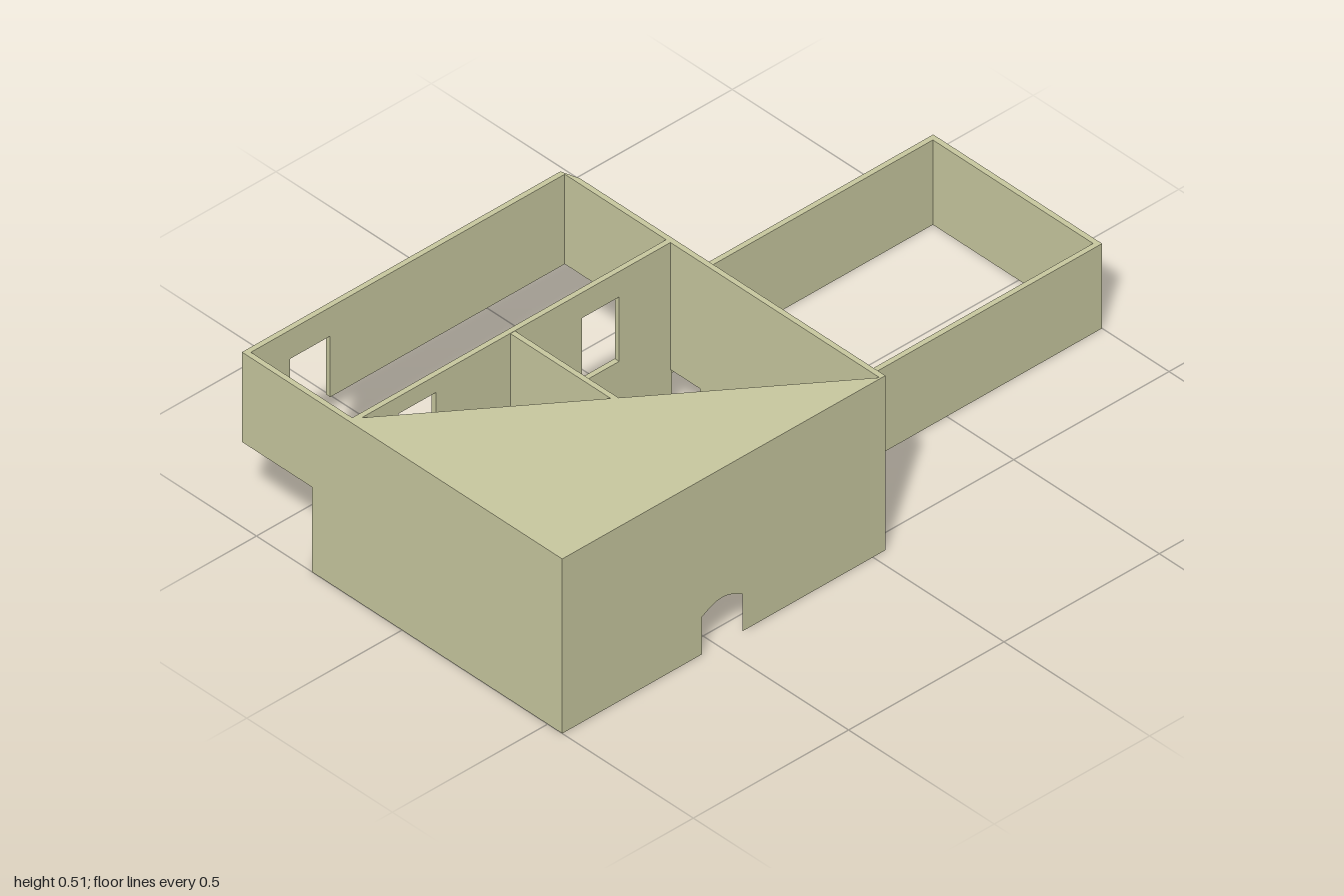
import * as THREE from 'three';

const T = 0.015;             // wall thickness
const TOP = 0.515, MID = 0.25;

export function createModel() {
  const house = new THREE.Group();
  house.name = 'house';
  const material = new THREE.MeshStandardMaterial({ color: 0xc9c9a0, side: THREE.DoubleSide, flatShading: true });

  const toShape = (pts) => new THREE.Shape(pts.map(([a, b]) => new THREE.Vector2(a, b)));
  const solid = (pts, t, holes = []) => {
    const shape = toShape(pts);
    holes.forEach((h) => shape.holes.push(toShape(h)));
    return t > 0
      ? new THREE.ExtrudeGeometry(shape, { depth: t, bevelEnabled: false })
      : new THREE.ShapeGeometry(shape);
  };
  const add = (name, geometry, x, y, z) => {
    const mesh = new THREE.Mesh(geometry, material);
    mesh.name = name;
    mesh.position.set(x, y, z);
    house.add(mesh);
  };

  // Wall running along x, its rear face at z
  const wallX = (name, pts, z, t = T) => add(name, solid(pts, t), 0, 0, z);
  // Wall running along z, its lower-x face at x; outline is given as (z, y)
  const wallZ = (name, pts, x, t = T, holes) =>
    add(name, solid(pts, t, holes).rotateY(-Math.PI / 2), x + t, 0, 0);

  const rect = (a, b, y0, y1) => [[a, y0], [b, y0], [b, y1], [a, y1]];
  // Doorway cut upward from a wall's lower edge
  const door = (a, b, base, head) => [[a, base], [a, head], [b, head], [b, base]];

  // Arched doorway of the right wall
  const arch = [[0.42, 0]];
  for (let i = 0; i <= 8; i++) {
    const u = i / 8;
    arch.push([0.42 + 0.13 * u, 0.11 + 0.024 * Math.sin(Math.PI * u)]);
  }
  arch.push([0.55, 0]);

  // Main block shell
  wallZ('rightWall', [[-0.04, 0], ...arch, [1, 0], [1, TOP], [-0.04, TOP]], 0.55, 0);
  wallX('frontWall', [[-0.31, 0], [0.55, 0], [0.55, TOP], [-0.18, TOP], [-0.18, MID], [-0.31, MID]], 1, 0);
  wallX('backWall', [
    [-0.5, MID], [-0.31, MID], [-0.31, 0], ...door(-0.195, -0.07, 0, 0.14),
    [0.55, 0], [0.55, TOP], [-0.5, TOP],
  ], -0.04);

  // Left upper room, with a doorway in its outer wall
  wallX('leftRoomFrontWall', rect(-0.55, -0.18, MID, TOP), 1 - T);
  wallZ('leftRoomSideWall', [
    [-0.025, MID], ...door(0.73, 0.86, MID, 0.43), [1, MID], [1, TOP], [-0.025, TOP],
  ], -0.55);
  const corner = solid([[-0.55, 0.025], [-0.5, 0.04], [-0.5, 0.025]], TOP - MID).rotateX(-Math.PI / 2);
  add('chamferedCorner', corner, 0, MID, 0);

  // Inner partitions
  wallZ('longPartition', [
    [-0.03, 0], [0.485, 0], [0.485, MID], ...door(0.73, 0.85, MID, 0.465),
    [0.99, MID], [0.99, TOP], [-0.03, TOP],
  ], -0.187, T, [rect(0.14, 0.26, MID, 0.44)]);
  wallX('crossPartition', rect(-0.18, 0.55, MID, TOP - 0.001), 0.475);

  // Triangular half roof
  const roof = solid([[-0.18, -1], [0.55, -1], [0.55, 0.03], [-0.18, -0.98]], 0).rotateX(-Math.PI / 2);
  add('halfRoof', roof, 0, TOP, 0);

  // Low walled annex at the back
  for (const [name, x] of [['annexLeftWall', 0.27 - T], ['annexRightWall', -0.31]]) {
    wallZ(name, rect(-1, -0.04, 0, MID), x);
  }
  wallX('annexBackWall', rect(-0.31, 0.27, 0, MID), -1);

  return house;
}
